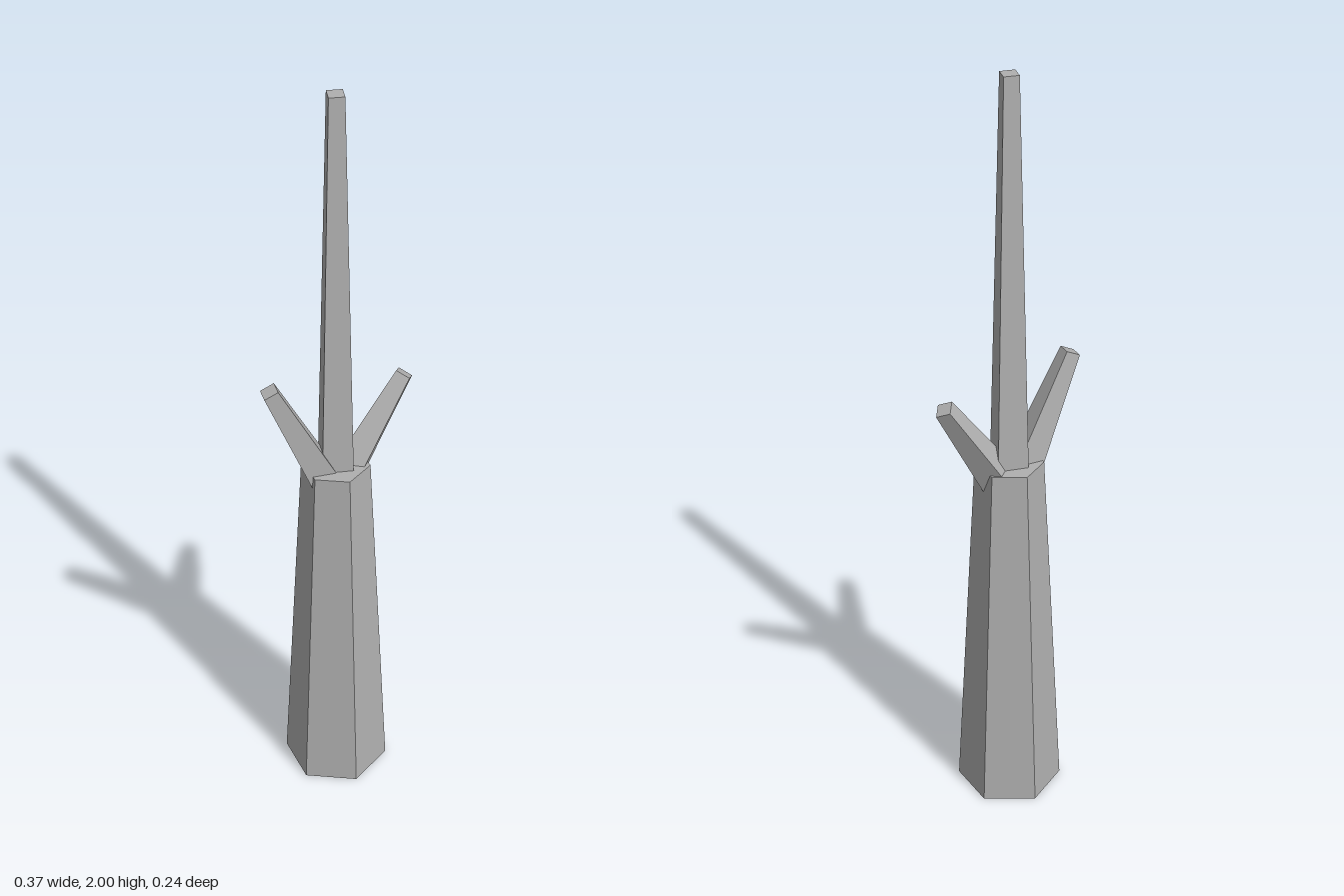
import * as THREE from 'three';

export function createModel() {
  const model = new THREE.Group();
  model.name = 'deadTree';
  const bark = new THREE.MeshStandardMaterial({ color: 0xb0b0b0, flatShading: true, side: THREE.DoubleSide });
  bark.name = 'grey bark';

  const axisX = -0.007; // the trunk stands slightly off centre
  const trunkTop = 0.975;

  function add(name, geometry) {
    const mesh = new THREE.Mesh(geometry, bark);
    mesh.name = name;
    model.add(mesh);
    return mesh;
  }

  // Six-sided tapered trunk, open underneath, with a flat top
  const trunk = new THREE.CylinderGeometry(0.087, 0.136, trunkTop, 6, 1, true, Math.PI / 6);
  add('trunk', trunk.translate(axisX, trunkTop / 2, 0));
  const cap = new THREE.CircleGeometry(0.087, 6).rotateX(-Math.PI / 2);
  add('trunkTop', cap.translate(axisX, trunkTop, 0));

  // Tall square spire
  const spireBase = 0.95;
  const spire = new THREE.CylinderGeometry(0.027, 0.056, 2 - spireBase, 4);
  add('spire', spire.translate(axisX, (2 + spireBase) / 2, 0));

  // Square tapered branch growing from the trunk axis; twist turns its corners
  function branch(name, startY, tip, twist) {
    const start = new THREE.Vector3(axisX, startY, 0);
    const dir = tip.clone().sub(start);
    const length = dir.length();
    dir.normalize();
    const side = new THREE.Vector3(dir.z, 0, -dir.x).normalize();
    const outward = side.clone().cross(dir);
    const geometry = new THREE.CylinderGeometry(0.027, 0.057, length, 4, 1, false, twist);
    geometry.translate(0, length / 2, 0);
    geometry.applyMatrix4(new THREE.Matrix4().makeBasis(side, dir, outward).setPosition(start));
    add(name, geometry);
  }
  branch('leftBranch', 0.888, new THREE.Vector3(0.164, 1.186, 0.084), 0);
  branch('rightBranch', 0.87, new THREE.Vector3(-0.16, 1.242, -0.086), 0.65);

  return model;
}
